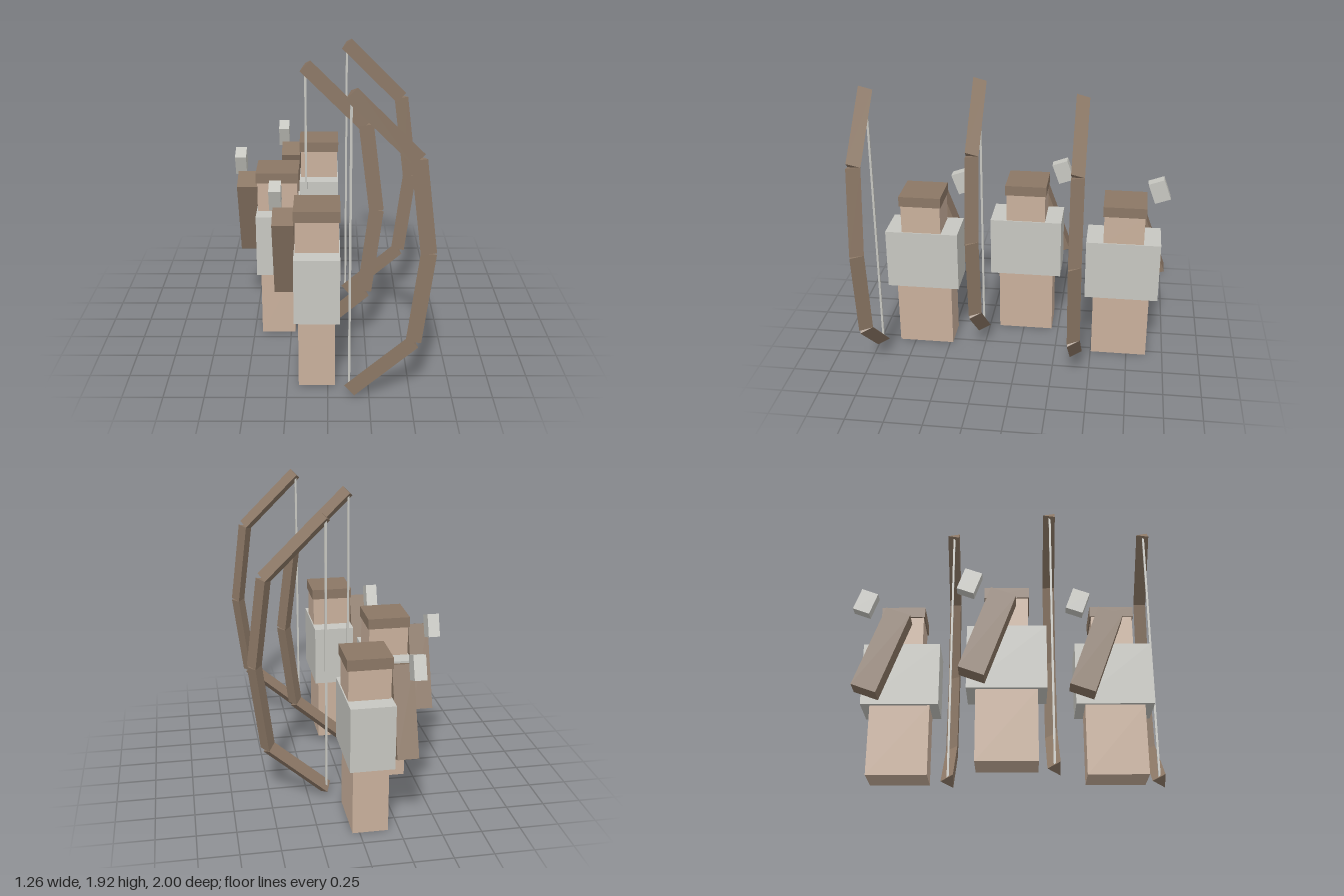
import * as THREE from 'three';

const material = (name, color) => {
  const m = new THREE.MeshStandardMaterial({ color, flatShading: true });
  m.name = name;
  return m;
};

export function createModel() {
  const skin = material('skin', 0xc9b09c);
  const grey = material('light grey', 0xc7c7c1);
  const brown = material('brown', 0x8b7765);

  const box = (parent, name, mat, size, pos, tilt = 0) => {
    const mesh = new THREE.Mesh(new THREE.BoxGeometry(...size), mat);
    mesh.name = name;
    mesh.position.set(...pos);
    mesh.rotation.x = tilt;
    parent.add(mesh);
  };

  // Triangular bow limb from a to b, flat side forward and ridge at the back
  const limb = (parent, a, b) => {
    const dx = b[0] - a[0], dy = b[1] - a[1];
    const geo = new THREE.CylinderGeometry(0.054, 0.054, Math.hypot(dx, dy), 3);
    geo.rotateY(Math.PI); // one corner points to -z
    const mesh = new THREE.Mesh(geo, brown);
    mesh.name = 'bowLimb';
    mesh.position.set((a[0] + b[0]) / 2, (a[1] + b[1]) / 2, 0.303);
    mesh.rotation.z = Math.atan2(-dx, dy);
    parent.add(mesh);
  };

  // Joints of the bow, relative to the archer's centre line
  const joints = [[0.193, 1.89], [0.571, 1.516], [0.643, 0.95], [0.572, 0.38], [0.195, 0.051]];
  const tilt = THREE.MathUtils.degToRad(20);

  const createArcher = () => {
    const archer = new THREE.Group();
    archer.name = 'archer';
    // Body
    box(archer, 'legs', skin, [0.225, 0.455, 0.38], [-0.002, 0.2275, 0]);
    box(archer, 'torso', grey, [0.277, 0.415, 0.494], [0, 0.6625, 0]);
    box(archer, 'head', skin, [0.262, 0.2, 0.267], [0, 0.97, 0]);
    box(archer, 'hat', brown, [0.28, 0.07, 0.283], [0, 1.1, 0]);
    // Quiver and arrow bundle, leaning forward
    box(archer, 'quiver', brown, [0.133, 0.567, 0.166], [-0.206, 0.775, -0.115], tilt);
    box(archer, 'arrows', grey, [0.075, 0.149, 0.112], [-0.263, 1.1, -0.228], tilt);
    // Bow
    const bow = new THREE.Group();
    bow.name = 'bow';
    for (let i = 0; i < 4; i++) limb(bow, joints[i], joints[i + 1]);
    box(bow, 'bowString', grey, [0.014, 1.8, 0.014], [0.194, 0.965, 0.295]);
    archer.add(bow);
    return archer;
  };

  // Three archers in a staggered file
  const model = new THREE.Group();
  model.name = 'archers';
  for (const [x, z] of [[-0.065, 0.67], [-0.332, -0.013], [-0.065, -0.694]]) {
    const archer = createArcher();
    archer.position.set(x, 0, z);
    model.add(archer);
  }
  return model;
}
